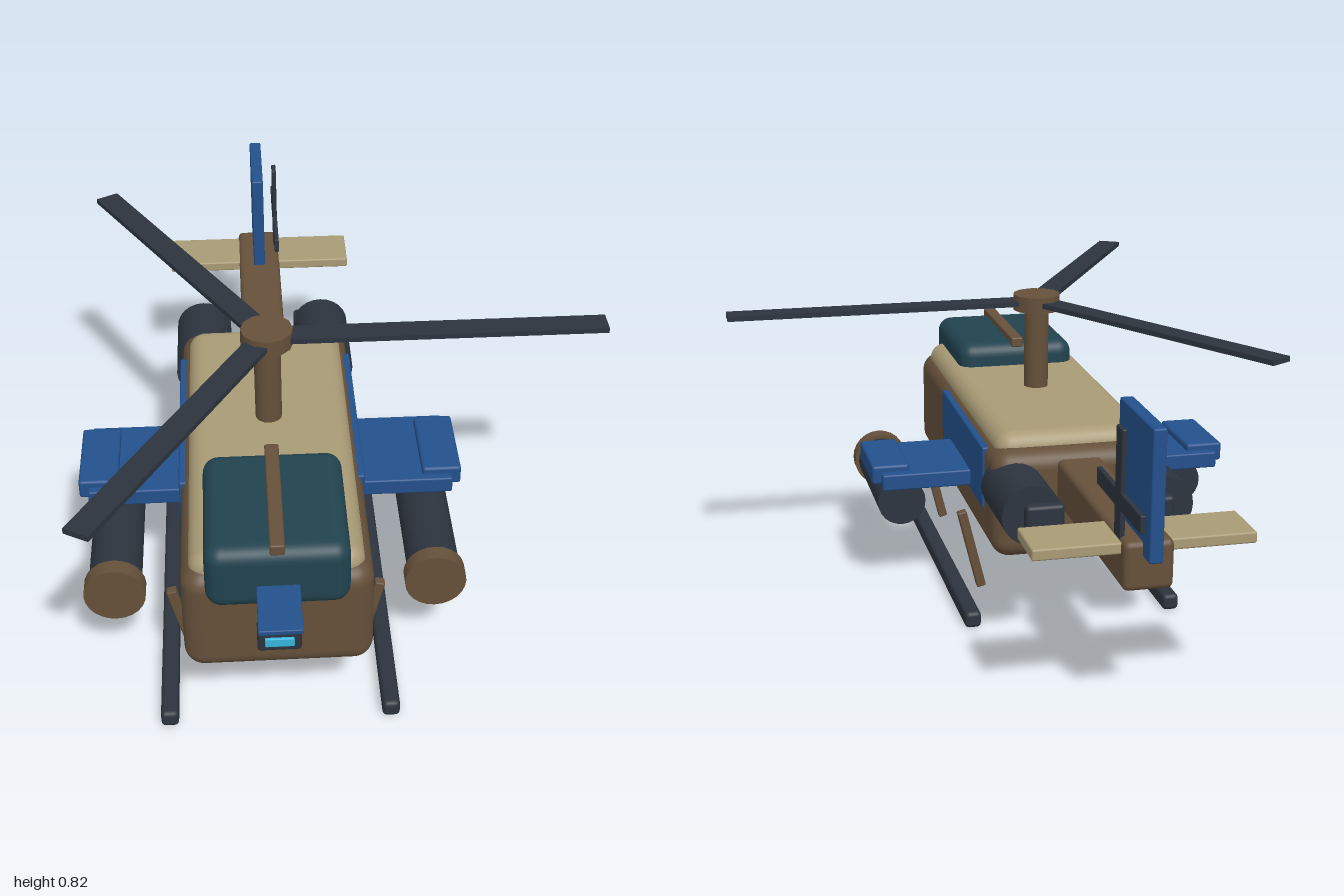
import * as THREE from 'three';
import { RoundedBoxGeometry } from 'three/addons/geometries/RoundedBoxGeometry.js';

const mat = (color) => new THREE.MeshStandardMaterial({ color });

export function createModel() {
  const brown = mat(0x65503a), tan = mat(0xa89a75), blue = mat(0x23508c);
  const dark = mat(0x2c343e), teal = mat(0x21434f), cyan = mat(0x35b5dc);

  const model = new THREE.Group();
  model.name = 'helicopter';
  // The airframe's plane of symmetry lies beside x = 0
  const craft = new THREE.Group();
  craft.name = 'airframe';
  craft.position.x = -0.187;
  model.add(craft);

  const add = (name, geometry, material, x, y, z, parent = craft) => {
    const mesh = new THREE.Mesh(geometry, material);
    mesh.name = name;
    mesh.position.set(x, y, z);
    parent.add(mesh);
    return mesh;
  };
  // Box given by its extents along each axis, with rounded edges
  const block = (name, material, [x0, x1], [y0, y1], [z0, z1], r = 0.005) =>
    add(name, new RoundedBoxGeometry(x1 - x0, y1 - y0, z1 - z0, r > 0.02 ? 4 : 2, r), material,
      (x0 + x1) / 2, (y0 + y1) / 2, (z0 + z1) / 2);
  // Cylinder lying along z
  const barrel = (name, material, r, x, y, [z0, z1]) =>
    add(name, new THREE.CylinderGeometry(r, r, z1 - z0, 24).rotateX(Math.PI / 2), material,
      x, y, (z0 + z1) / 2);

  // Fuselage
  block('hull', brown, [-0.234, 0.234], [0.21, 0.51], [-0.285, 0.81], 0.05);
  block('upperDeck', tan, [-0.213, 0.213], [0.445, 0.547], [-0.233, 0.785], 0.045);
  block('canopy', teal, [-0.174, 0.174], [0.438, 0.615], [0.445, 0.845], 0.04);
  block('canopyRidge', brown, [-0.018, 0.018], [0.602, 0.632], [0.445, 0.842]);
  block('noseProbe', blue, [-0.052, 0.052], [0.5, 0.514], [0.8, 1.0], 0.003);
  block('sensorHousing', dark, [-0.054, 0.054], [0.307, 0.371], [0.79, 0.85], 0.008);
  block('sensorLens', cyan, [-0.036, 0.036], [0.326, 0.352], [0.835, 0.857], 0.003);

  // Tail
  block('tailBoom', brown, [-0.062, 0.062], [0.36, 0.484], [-0.893, -0.2], 0.015);
  block('tailplane', tan, [-0.275, 0.275], [0.446, 0.475], [-0.865, -0.714]);
  block('tailFin', blue, [-0.017, 0.017], [0.447, 0.773], [-0.942, -0.678]);
  block('tailRotorBladeUpright', dark, [0.047, 0.06], [0.391, 0.744], [-0.845, -0.797], 0.003);
  block('tailRotorBladeLevel', dark, [0.047, 0.06], [0.546, 0.59], [-0.998, -0.645], 0.003);

  // Main rotor
  const rotor = new THREE.Group();
  rotor.name = 'mainRotor';
  rotor.position.set(0, 0.8, 0.21);
  craft.add(rotor);
  add('mast', new THREE.CylinderGeometry(0.035, 0.035, 0.26, 16), brown, 0, -0.12, 0, rotor);
  add('hub', new THREE.CylinderGeometry(0.068, 0.068, 0.045, 12), brown, 0, 0, 0, rotor);
  for (let i = 0; i < 3; i++) {
    const arm = new THREE.Group();
    arm.name = 'rotorArm';
    arm.rotation.y = (i * Math.PI * 2) / 3;
    rotor.add(arm);
    add('rotorBlade', new THREE.BoxGeometry(0.86, 0.014, 0.066), dark, 0.452, 0, 0, arm);
  }

  // Paired parts
  for (const s of [-1, 1]) {
    const side = s > 0 ? 'left' : 'right';
    const span = (a, b) => (s > 0 ? [a, b] : [-b, -a]);

    block(side + 'SidePanel', blue, span(0.215, 0.24), [0.318, 0.492], [-0.158, 0.414]);
    block(side + 'Wing', blue, span(0.2, 0.488), [0.33, 0.376], [0.0, 0.292]);
    block(side + 'Winglet', blue, span(0.408, 0.513), [0.341, 0.395], [0.028, 0.27], 0.008);

    // Engine with exhaust block
    barrel(side + 'Engine', dark, 0.08, s * 0.175, 0.404, [-0.465, -0.215]);
    block(side + 'Exhaust', dark, span(0.095, 0.197), [0.37, 0.437], [-0.492, -0.43], 0.01);

    // Pod slung under the wing
    barrel(side + 'Pod', dark, 0.069, s * 0.415, 0.249, [0.127, 0.53]);
    barrel(side + 'PodCap', brown, 0.08, s * 0.415, 0.249, [0.515, 0.56]);

    // Landing skid and its two slanted struts
    block(side + 'Skid', dark, span(0.26, 0.305), [0.002, 0.048], [-0.243, 0.792], 0.012);
    for (const z of [-0.02, 0.56]) {
      const strut = add(side + 'Strut', new RoundedBoxGeometry(0.026, 0.236, 0.026, 2, 0.004), brown,
        s * 0.242, 0.147, z);
      strut.rotation.z = -s * 0.24;
    }
  }
  return model;
}
